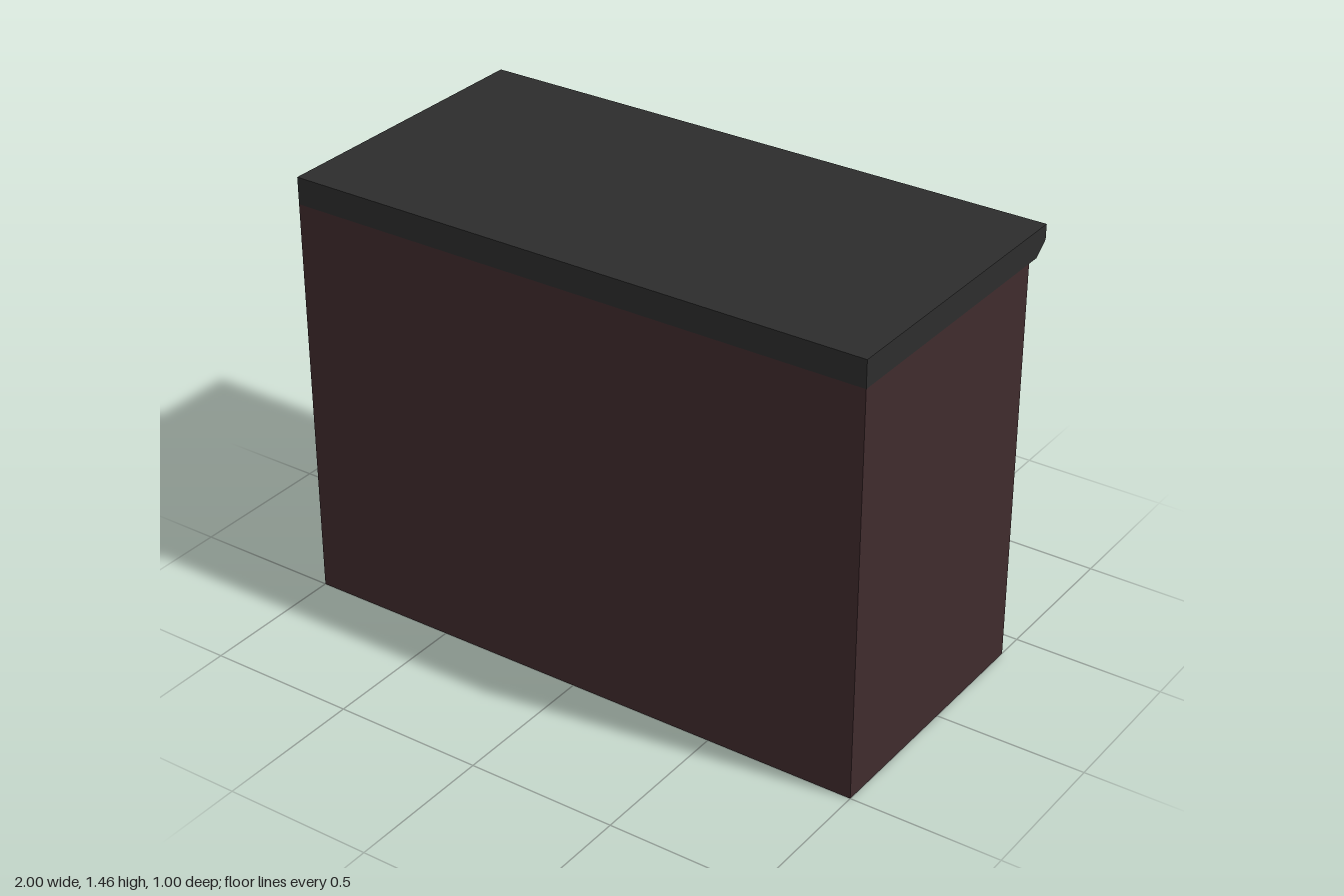
import * as THREE from 'three';

export function createModel() {
  const group = new THREE.Group();
  const wood = new THREE.MeshStandardMaterial({ color: 0x402b2d });
  const stone = new THREE.MeshStandardMaterial({ color: 0x2d2d2d });

  // Box given by its lower and upper corners
  const addBox = (name, [x0, y0, z0], [x1, y1, z1]) => {
    const mesh = new THREE.Mesh(new THREE.BoxGeometry(x1 - x0, y1 - y0, z1 - z0), wood);
    mesh.position.set((x0 + x1) / 2, (y0 + y1) / 2, (z0 + z1) / 2);
    mesh.name = name;
    group.add(mesh);
  };

  // Cabinet body and the raised panel on its back
  addBox('cabinetBody', [-1, 0, -0.405], [1, 1.365, 0.5]);
  addBox('raisedPanel', [-0.91, 0.09, -0.453], [0.91, 1.273, -0.405]);

  // Countertop: side profile (-z, y) with a chamfered overhang, swept along x
  const profile = new THREE.Shape([
    [-0.5, 1.365], [0.45, 1.365], [0.5, 1.405], [0.5, 1.455], [-0.5, 1.455],
  ].map(([u, v]) => new THREE.Vector2(u, v)));
  const topGeometry = new THREE.ExtrudeGeometry(profile, { depth: 2, bevelEnabled: false });
  topGeometry.translate(0, 0, -1).rotateY(Math.PI / 2);
  const countertop = new THREE.Mesh(topGeometry, stone);
  countertop.name = 'countertop';
  group.add(countertop);

  return group;
}
